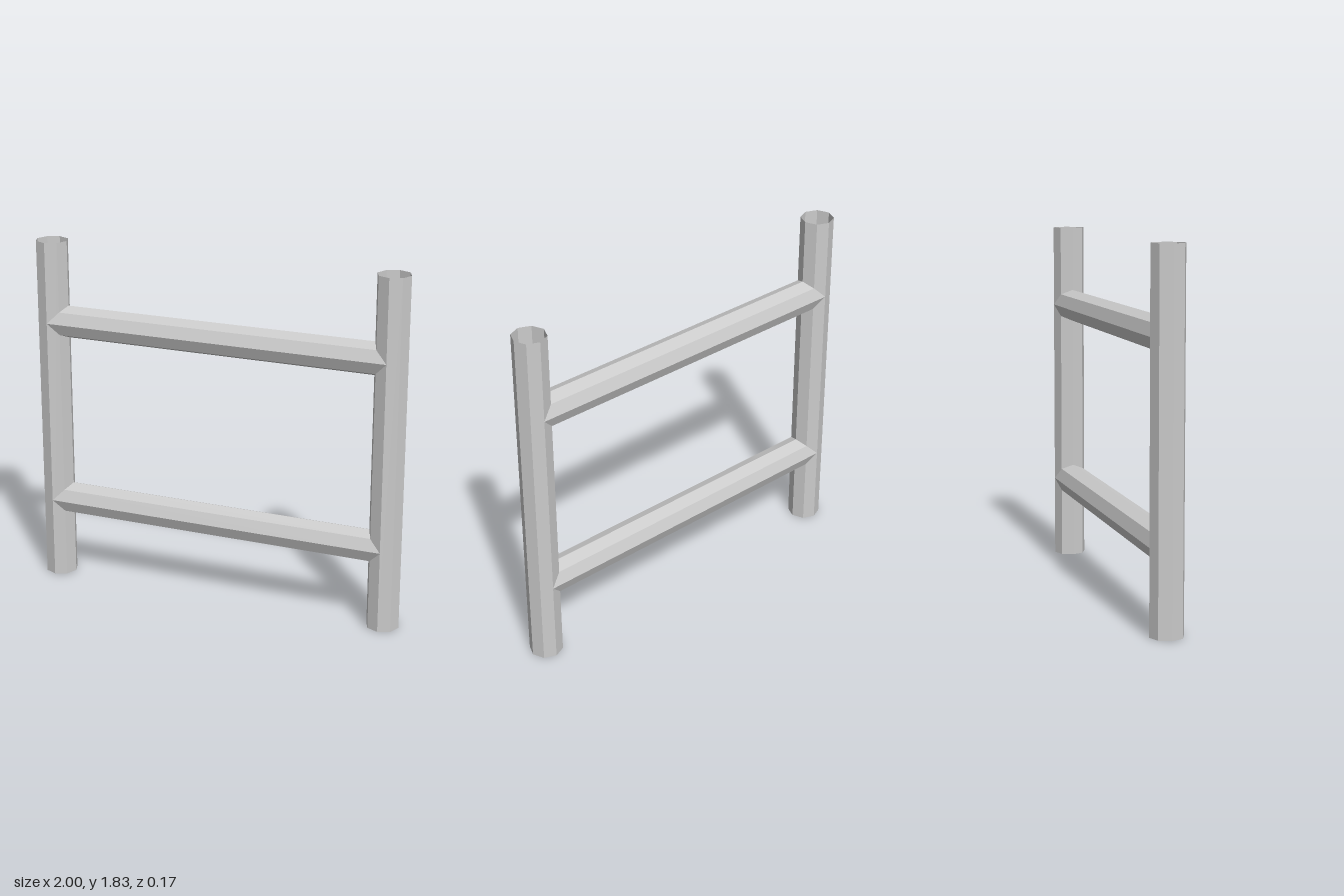
import * as THREE from 'three';

const RADIUS = 0.085;
const SIDES = 8;
const POST_X = 0.915;
const POST_HEIGHT = 1.83;

export function createModel() {
  const model = new THREE.Group();
  model.name = 'tubeFrame';
  const material = new THREE.MeshStandardMaterial({
    color: 0xcccccc, flatShading: true, side: THREE.DoubleSide,
  });

  // Open octagonal tube along y
  const tube = (length) =>
    new THREE.CylinderGeometry(RADIUS, RADIUS, length, SIDES, 1, true);

  const add = (geometry, name, x, y) => {
    const mesh = new THREE.Mesh(geometry, material);
    mesh.name = name;
    mesh.position.set(x, y, 0);
    model.add(mesh);
  };

  // Upright posts, open at both ends
  const post = tube(POST_HEIGHT);
  add(post, 'leftPost', POST_X, POST_HEIGHT / 2);
  add(post, 'rightPost', -POST_X, POST_HEIGHT / 2);

  // Cross rails, with ends notched to meet the post faces
  const rail = tube(2 * POST_X).rotateZ(Math.PI / 2);
  const p = rail.attributes.position;
  for (let i = 0; i < p.count; i++) {
    p.setX(i, Math.sign(p.getX(i)) * (POST_X - Math.abs(p.getY(i))));
  }
  rail.computeVertexNormals();
  add(rail, 'upperRail', 0, 1.405);
  add(rail, 'lowerRail', 0, 0.427);

  return model;
}
